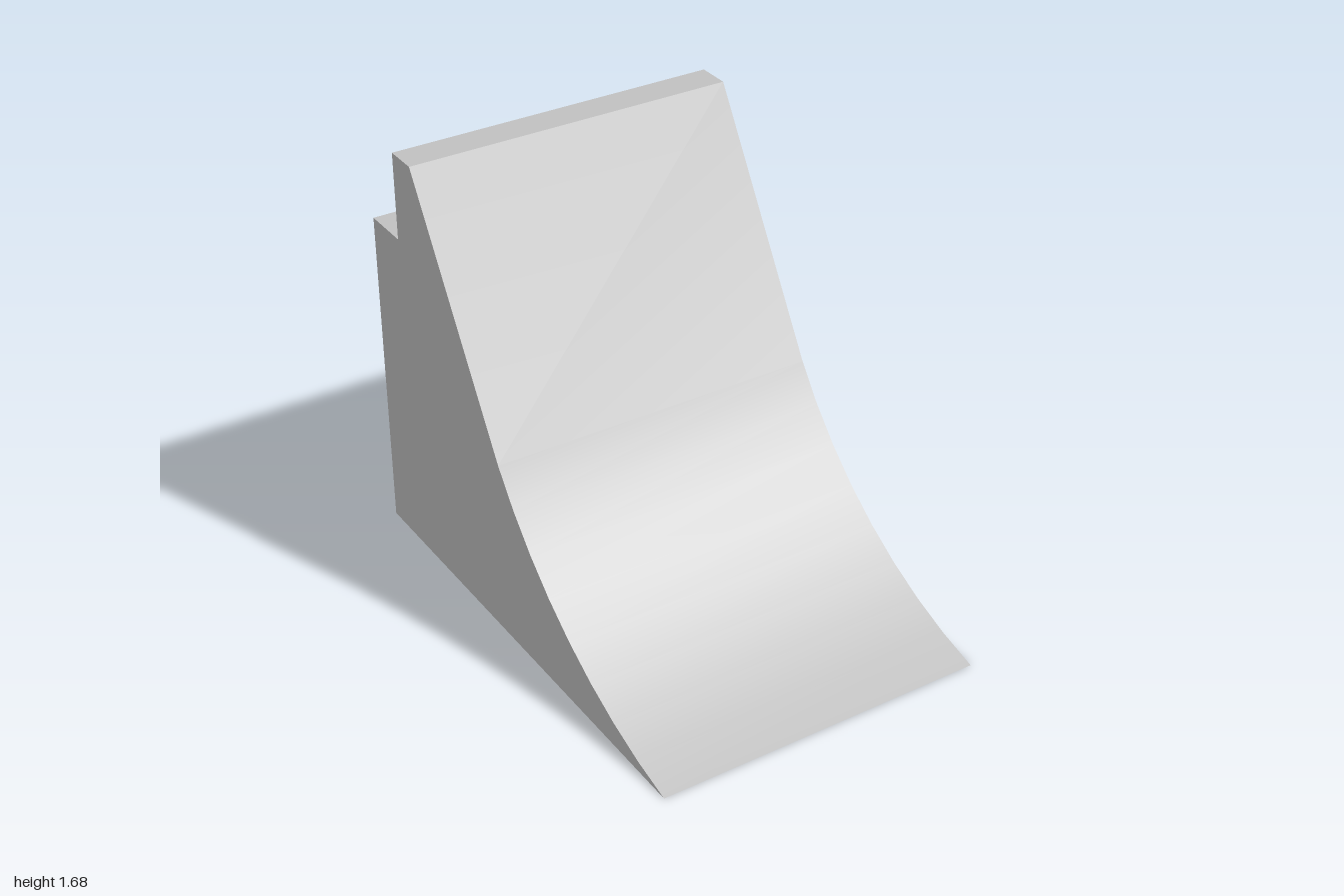
import * as THREE from 'three';
import { toCreasedNormals } from 'three/addons/utils/BufferGeometryUtils.js';

const WIDTH = 1.33;

export function createModel() {
  const group = new THREE.Group();
  group.name = 'quarterRamp';

  const grey = new THREE.MeshStandardMaterial({ color: 0xc0c0c0 });
  grey.name = 'light grey';

  // Side profile: shape x runs from the toe at the front to the back wall
  const profile = new THREE.Shape();
  profile.moveTo(-1, 0);

  // Curved lower ramp, an arc in eight segments
  const radius = 1.73;
  const start = THREE.MathUtils.degToRad(11.4);
  const end = THREE.MathUtils.degToRad(56.4);
  for (let i = 1; i <= 8; i++) {
    const a = start + (end - start) * i / 8;
    profile.lineTo(
      -1 + radius * (Math.sin(a) - Math.sin(start)),
      radius * (Math.cos(start) - Math.cos(a))
    );
  }

  // Straight upper ramp, top lip, rear step and back wall
  profile.lineTo(0.667, 1.685);
  profile.lineTo(0.8, 1.685);
  profile.lineTo(0.8, 1.335);
  profile.lineTo(1, 1.335);
  profile.lineTo(1, 0);
  profile.closePath();

  // Extrude across the width, smooth along the curve and sharp at the corners
  const solid = new THREE.ExtrudeGeometry(profile, { depth: WIDTH, bevelEnabled: false });
  solid.translate(0, 0, -WIDTH / 2);
  solid.rotateY(Math.PI / 2);
  const ramp = new THREE.Mesh(toCreasedNormals(solid, Math.PI / 6), grey);
  ramp.name = 'rampBody';
  group.add(ramp);

  return group;
}
